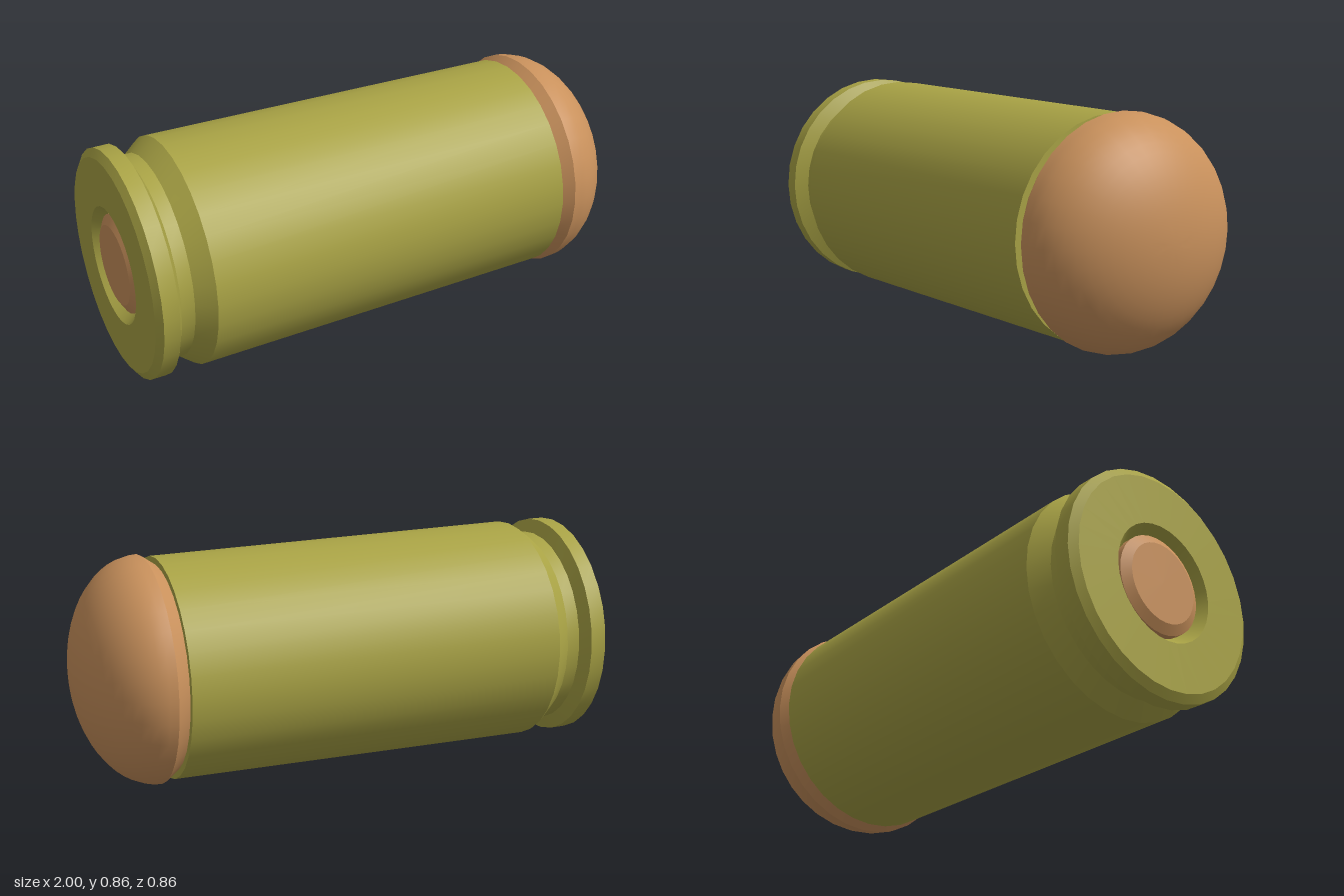
import * as THREE from 'three';
import { toCreasedNormals } from 'three/addons/utils/BufferGeometryUtils.js';

const RADIUS = 0.43;
const SIDES = 32;

// Turns a profile of [x, radius] points, listed from back to front, around the x axis
function turned(name, profile, material) {
  const points = profile.map(([x, r]) => new THREE.Vector2(r, x));
  const geometry = toCreasedNormals(new THREE.LatheGeometry(points, SIDES), 0.45);
  geometry.rotateZ(-Math.PI / 2);
  const mesh = new THREE.Mesh(geometry, material);
  mesh.name = name;
  mesh.position.y = RADIUS;
  return mesh;
}

export function createModel() {
  const brass = new THREE.MeshStandardMaterial({ color: 0xa9a345 });
  brass.name = 'olive brass';
  const copper = new THREE.MeshStandardMaterial({ color: 0xc9915c });
  copper.name = 'copper';

  const model = new THREE.Group();
  model.name = 'cartridge';

  // Casing: primer pocket, rim, extractor groove, tapered wall and mouth
  model.add(turned('casing', [
    [-0.94, 0.18], [-1, 0.22], [-1, 0.4], [-0.98, RADIUS], [-0.92, RADIUS],
    [-0.895, 0.38], [-0.845, 0.38], [-0.78, RADIUS], [0.67, 0.415], [0.67, 0.38],
  ], brass));

  // Primer: bevelled button in the base
  model.add(turned('primer', [
    [-0.995, 0], [-0.995, 0.15], [-0.975, 0.185], [-0.92, 0.185],
  ], copper));

  // Bullet: short flare out of the mouth, then an elliptical dome
  const bullet = [[0.66, 0.383], [0.72, 0.426]];
  const steps = 14;
  for (let i = 1; i <= steps; i++) {
    const a = (i / steps) * Math.PI / 2;
    bullet.push([0.72 + 0.28 * Math.sin(a), i === steps ? 0 : 0.426 * Math.cos(a)]);
  }
  model.add(turned('bullet', bullet, copper));

  return model;
}
